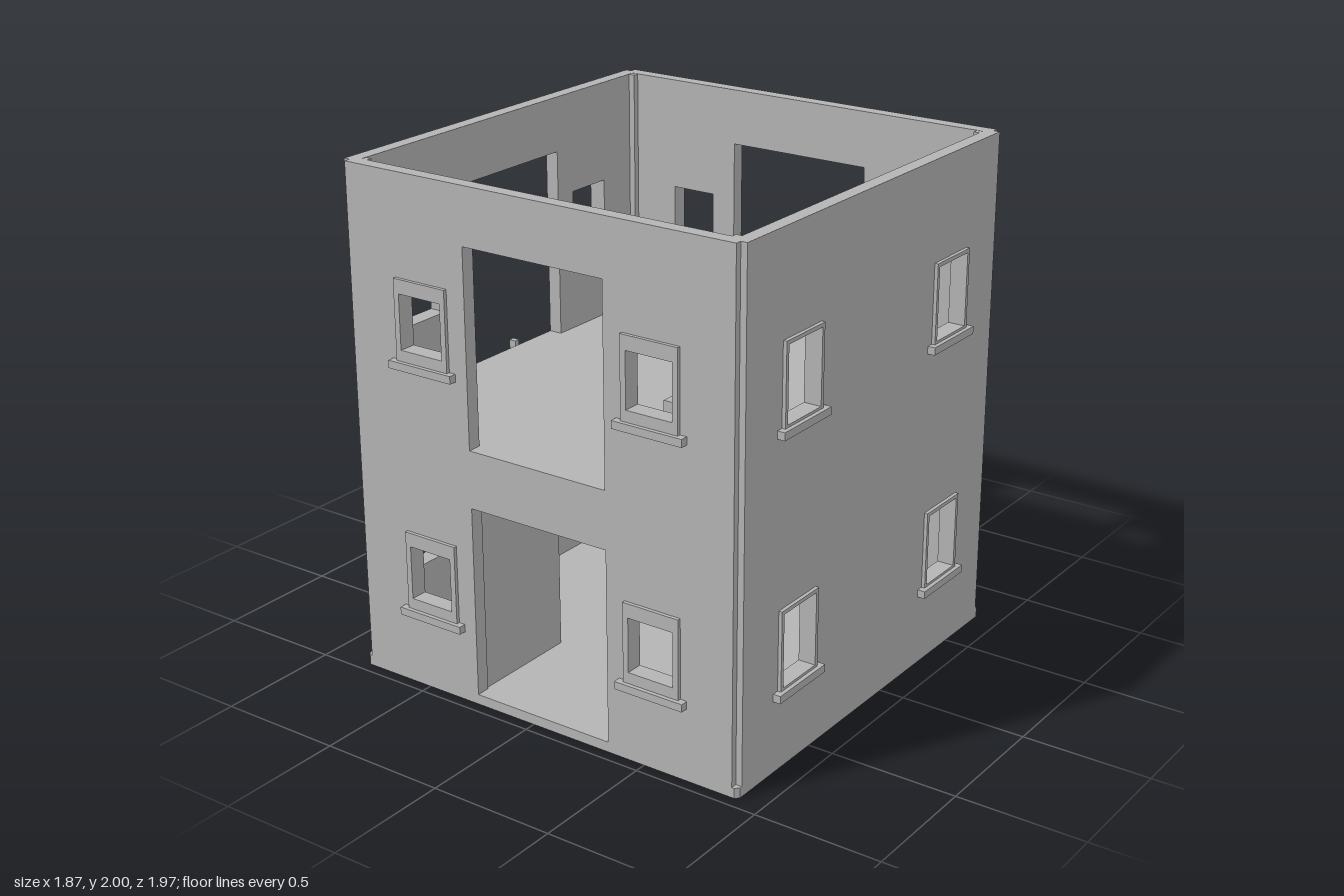
import * as THREE from 'three';

export function createModel() {
  const plaster = new THREE.MeshStandardMaterial({ color: 0xb4b4b4 });
  plaster.name = 'plaster grey';
  const model = new THREE.Group();
  model.name = 'twoStoreyHouse';

  // House-centred frame, shifted because balcony and ladder stick out
  const house = new THREE.Group();
  house.name = 'house';
  house.position.set(0.04, 0, 0.095);
  model.add(house);

  const HALF = 0.86, THICK = 0.055, NOTCH = 0.025;

  const add = (parent, name, geometry) => {
    const mesh = new THREE.Mesh(geometry, plaster);
    mesh.name = name;
    parent.add(mesh);
    return mesh;
  };
  // Box given by its limits on each axis
  const box = (parent, name, x0, x1, y0, y1, z0, z1) => {
    const mesh = add(parent, name, new THREE.BoxGeometry(x1 - x0, y1 - y0, z1 - z0));
    mesh.position.set((x0 + x1) / 2, (y0 + y1) / 2, (z0 + z1) / 2);
    return mesh;
  };
  const trace = (path, x0, x1, y0, y1) => {
    path.moveTo(x0, y0);
    path.lineTo(x1, y0);
    path.lineTo(x1, y1);
    path.lineTo(x0, y1);
    path.closePath();
    return path;
  };
  // Upright rectangular plate with rectangular holes
  const plate = (parent, name, rect, holes, z0, z1) => {
    const shape = trace(new THREE.Shape(), ...rect);
    for (const h of holes) shape.holes.push(trace(new THREE.Path(), ...h));
    const mesh = add(parent, name, new THREE.ExtrudeGeometry(shape, { depth: z1 - z0, bevelEnabled: false }));
    mesh.position.z = z0;
    return mesh;
  };

  // Base slab with clipped corners
  const c = HALF - 0.015;
  const base = new THREE.Shape([[-c, -HALF], [c, -HALF], [HALF, -c], [HALF, c],
    [c, HALF], [-c, HALF], [-HALF, c], [-HALF, -c]].map(p => new THREE.Vector2(...p)));
  add(house, 'baseSlab', new THREE.ExtrudeGeometry(base, { depth: 0.04, bevelEnabled: false })
    .rotateX(-Math.PI / 2));

  // Upper floor
  const inner = HALF - THICK;
  box(house, 'upperFloor', -inner, inner, 0.98, 1.02, -inner, inner);

  // Four walls, each drawn facing +z and then turned into place
  const lowerDoor = [-0.302, 0.302, 0.04, 0.795];
  const upperDoor = [-0.302, 0.302, 1.02, 1.78];
  const walls = [
    { name: 'frontWall', turn: 0, doors: [lowerDoor, upperDoor], wide: true },
    { name: 'leftWall', turn: Math.PI / 2, doors: [], wide: false },
    { name: 'backWall', turn: Math.PI, doors: [lowerDoor, upperDoor], wide: true },
    { name: 'rightWall', turn: -Math.PI / 2, doors: [upperDoor], wide: false },
  ];
  for (const { name, turn, doors, wide } of walls) {
    const wall = new THREE.Group();
    wall.name = name;
    wall.rotation.y = turn;
    house.add(wall);
    const openings = [];
    for (const x of [-0.5, 0.5]) for (const y of [0.315, 1.3]) {
      // Front and back windows have broad frames, side windows slim ones
      const hole = wide ? [x - 0.095, x + 0.095, y + 0.043, y + 0.255]
        : [x - 0.103, x + 0.103, y + 0.01, y + 0.295];
      openings.push(hole);
      plate(wall, 'windowFrame', [x - 0.118, x + 0.118, y, y + 0.31], [hole], HALF - 0.005, HALF + 0.014);
      box(wall, 'windowSill', x - 0.145, x + 0.145, y - 0.03, y, HALF - 0.005, HALF + 0.03);
    }
    const w = HALF - NOTCH;
    // Walls with a ground door rise from the slab between the door jambs
    const ground = doors.includes(lowerDoor);
    const shape = new THREE.Shape();
    shape.moveTo(-w, 0.04);
    if (ground) {
      shape.lineTo(lowerDoor[0], 0.04);
      shape.lineTo(lowerDoor[0], lowerDoor[3]);
      shape.lineTo(lowerDoor[1], lowerDoor[3]);
      shape.lineTo(lowerDoor[1], 0.04);
    }
    shape.lineTo(w, 0.04);
    shape.lineTo(w, 2);
    shape.lineTo(-w, 2);
    shape.closePath();
    for (const h of [...openings, ...doors.filter(d => d !== lowerDoor)])
      shape.holes.push(trace(new THREE.Path(), ...h));
    const panel = add(wall, name + 'Panel',
      new THREE.ExtrudeGeometry(shape, { depth: THICK, bevelEnabled: false }));
    panel.position.z = HALF - THICK;
  }

  // Corner posts showing inside the room
  for (const sx of [-1, 1]) for (const sz of [-1, 1]) {
    const post = box(house, 'cornerPost', -0.027, 0.027, 0.04, 1.999, -0.027, 0.027);
    post.position.x = sx * 0.807;
    post.position.z = sz * 0.807;
  }

  // Ground floor partition with a wide gap, and a chest upstairs
  box(model, 'frontPartition', -0.3, -0.27, 0.04, 0.98, 0.45, 0.9);
  box(model, 'backPartition', -0.3, -0.27, 0.04, 0.98, -0.71, 0.1);
  box(model, 'chest', 0.37, 0.7, 1.02, 1.26, 0.45, 0.65);

  // Balcony on the back with a thin solid railing, and the canopy below it
  const balcony = new THREE.Group();
  balcony.name = 'balcony';
  model.add(balcony);
  box(balcony, 'balconyFloor', -0.38, 0.46, 0.98, 1.022, -0.968, -0.76);
  box(balcony, 'balconyRailBack', -0.39, 0.47, 1.02, 1.205, -0.985, -0.97);
  box(balcony, 'balconyRailSide', -0.39, -0.378, 1.02, 1.205, -0.97, -0.76);
  box(balcony, 'balconyRailSide', 0.458, 0.47, 1.02, 1.205, -0.97, -0.76);
  box(model, 'canopy', -0.4, 0.478, 0.835, 0.875, -0.985, -0.76);

  // Low block beside the back door
  box(model, 'backStepBlock', -0.69, -0.29, 0.04, 0.2, -0.96, -0.76);

  // Ladder on the right wall, held by two brackets
  const ladder = new THREE.Group();
  ladder.name = 'ladder';
  model.add(ladder);
  for (const z of [-0.05, 0.24])
    box(ladder, 'ladderRail', -0.896, -0.866, 0.035, 1.015, z - 0.012, z + 0.012);
  for (let i = 0; i < 8; i++) {
    const y = 0.1 + i * 0.118;
    box(ladder, 'ladderRung', -0.892, -0.87, y - 0.01, y + 0.01, -0.05, 0.24);
  }
  for (const y of [0.165, 0.895])
    box(ladder, 'ladderBracket', -0.935, -0.815, y - 0.011, y + 0.011, -0.075, 0.265);

  return model;
}
